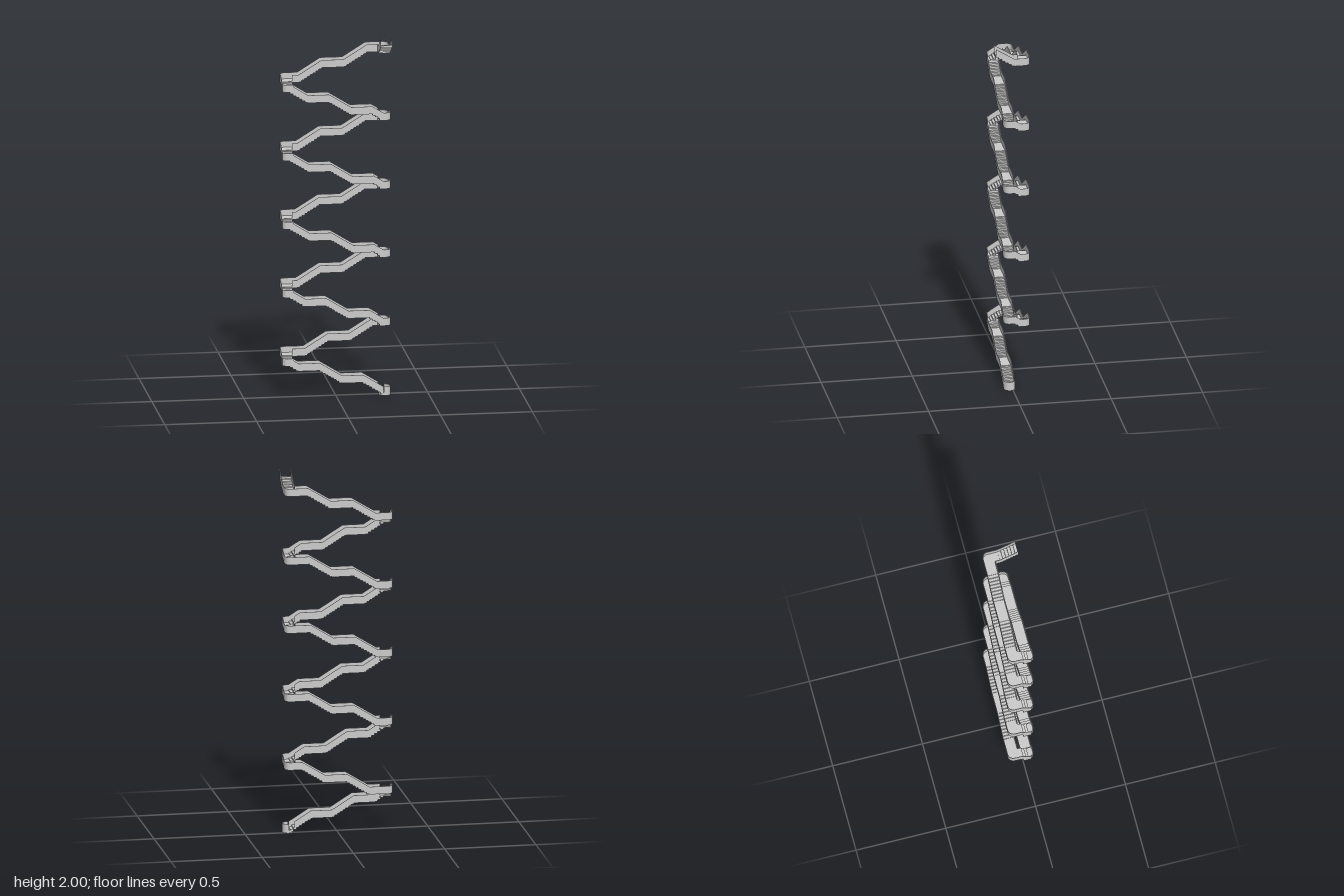
import * as THREE from 'three';

const HALF = 0.0315;      // half the walkway width
const FRONT = 0.016, BACK = -0.0635, END = 0.264;
const SLOPE = 0.62, LOOP = 0.381;
const WALL = 0.042, THIN = 0.0025, DROP = 0.034;
const mat = new THREE.MeshStandardMaterial({ color: 0xcccccc, side: THREE.DoubleSide, flatShading: true });

function add(group, geo, name, x = 0, y = 0, z = 0) {
  const m = new THREE.Mesh(geo, mat);
  m.name = name;
  m.position.set(x, y, z);
  group.add(m);
  return m;
}

// Height of a profile of [s, y] points at s
function heightAt(pts, s) {
  for (let i = 1; i < pts.length; i++) {
    const [a, ya] = pts[i - 1], [b, yb] = pts[i];
    if (s <= b) return ya + (yb - ya) * Math.max(0, (s - a) / (b - a));
  }
  return pts[pts.length - 1][1];
}

// Parapet following the profile between s0 and s1
function parapet(group, pts, s0, s1, z, name) {
  const top = [[s0, heightAt(pts, s0)], ...pts.filter(p => p[0] > s0 && p[0] < s1), [s1, heightAt(pts, s1)]];
  const outline = [...top, ...top.map(([s, y]) => [s, y - WALL]).reverse()];
  const shape = new THREE.Shape(outline.map(p => new THREE.Vector2(...p)));
  add(group, new THREE.ExtrudeGeometry(shape, { depth: THIN, bevelEnabled: false }), name, 0, 0, z);
}

// Run of stairs along local +x; local +z is the inner side of the stairwell
function flight(name, pts, angle, x, z, inner) {
  const g = new THREE.Group();
  g.name = name;
  for (let i = 1; i < pts.length; i++) {
    const [a, ya] = pts[i - 1], [b, yb] = pts[i];
    const flat = Math.abs(yb - ya) < 1e-5;
    const n = flat ? 1 : Math.max(1, Math.round((b - a) / 0.0157));
    const run = (b - a) / n, rise = (yb - ya) / n, h = flat ? 0.008 : rise + 0.001;
    for (let k = 0; k < n; k++) {
      add(g, new THREE.BoxGeometry(run, h, HALF * 2 - 0.001), flat ? 'platform' : 'step',
        a + run * (k + 0.5), ya + rise * (k + 0.5) - DROP - h / 2, 0);
    }
  }
  parapet(g, pts, pts[0][0], pts[pts.length - 1][0], -HALF, 'outerParapet');
  if (inner) parapet(g, pts, inner[0], inner[1], HALF - THIN, 'innerParapet');
  g.rotation.y = angle;
  g.position.set(x, 0, z);
  return g;
}

// Rounded corner landing, outer sides at local +x and +z
function corner(name, angle, x, y, z, height = WALL, round = false) {
  const g = new THREE.Group();
  g.name = name;
  const path = (h, start) => {
    const pts = round ? [] : [new THREE.Vector2(start, h)];
    const from = round ? Math.PI : Math.PI / 2, to = round ? -Math.PI / 2 : 0, n = round ? 18 : 8;
    for (let i = 0; i <= n; i++) {
      const t = from + (to - from) * i / n;
      pts.push(new THREE.Vector2(h * Math.cos(t), h * Math.sin(t)));
    }
    if (!round) pts.push(new THREE.Vector2(h, start));
    return pts;
  };
  const slab = (pts, depth) => new THREE.ExtrudeGeometry(new THREE.Shape(pts), { depth, bevelEnabled: false }).rotateX(Math.PI / 2);
  if (round) {
    add(g, new THREE.CylinderGeometry(HALF, HALF, height - DROP, 24), 'landingFloor', 0, -(height + DROP) / 2, 0);
    // curved wall, open towards the stairs
    const arc = path(HALF, 0).slice(5), inside = path(HALF - THIN, 0).slice(5);
    add(g, slab([...arc, ...inside.reverse()], height), 'landingWall');
  } else {
    add(g, slab([...path(HALF, -HALF), new THREE.Vector2(-HALF, -HALF)], height - DROP), 'landingFloor', 0, -DROP, 0);
    add(g, slab([...path(HALF, -HALF), ...path(HALF - THIN, -HALF).reverse()], height), 'landingWall');
  }
  g.rotation.y = angle;
  g.position.set(x, y, z);
  return g;
}

export function createModel() {
  const model = new THREE.Group();
  model.name = 'staircase';
  // where the first platform of each front run and the first step of each back run lie
  const frontStart = [0.143, 0.178, 0.205, 0.202, 0.194];
  const backStart = [-0.165, -0.205, -0.21, -0.205, -0.197];
  const reach = 0.255, inner = [-0.2325, 0.2325];

  for (let k = 0; k < 5; k++) {
    const loop = new THREE.Group();
    loop.name = 'loop' + (k + 1);
    model.add(loop);

    // front run: three flights of steps and two platforms
    const y0 = 0.05 + LOOP * k, a = -frontStart[k];
    const y1 = y0 + SLOPE * (a + reach), y2 = y1 + SLOPE * 0.12;
    const y3 = y2 + SLOPE * (reach - a - 0.35);
    loop.add(flight('frontRun', [[-reach, y0], [a, y1], [a + 0.115, y1], [a + 0.235, y2], [a + 0.35, y2], [reach, y3]],
      Math.PI, 0, FRONT, inner));

    // back run: two flights of steps between platforms
    const y4 = y3 + 0.034, b = backStart[k], y5 = y4 + SLOPE * 0.125, y6 = y5 + SLOPE * 0.125;
    loop.add(flight('backRun', [[-0.2325, y4], [b, y4], [b + 0.125, y5], [b + 0.245, y5], [b + 0.37, y6], [0.2325, y6]],
      0, 0, BACK, inner));

    // corners
    loop.add(corner('frontLandingLeftOfView', -Math.PI / 2, -END, y3, FRONT));
    loop.add(corner('backLandingLeftOfView', Math.PI, -END, y4, BACK));
    loop.add(corner('backLandingRightOfView', Math.PI / 2, END, y6, BACK));
    loop.add(corner('frontLandingRightOfView', 0, END, y0, FRONT, k ? WALL : 0.05, k === 0));

    // short side flights joining the runs
    loop.add(flight('shortSideFlight', [[-0.03, y3], [0.025, y4], [0.034, y4]], Math.PI / 2, -END, 0));
    if (k < 4) {
      loop.add(flight('shortSideFlight', [[-0.04, y6], [-0.012, y0 + LOOP]], -Math.PI / 2, END, 0));
    } else {
      loop.add(flight('topFlight', [[-0.034, y6], [-0.007, y6], [0.095, 2]], -Math.PI / 2, END, 0, [-0.032, 0.095]));
    }
  }
  return model;
}
